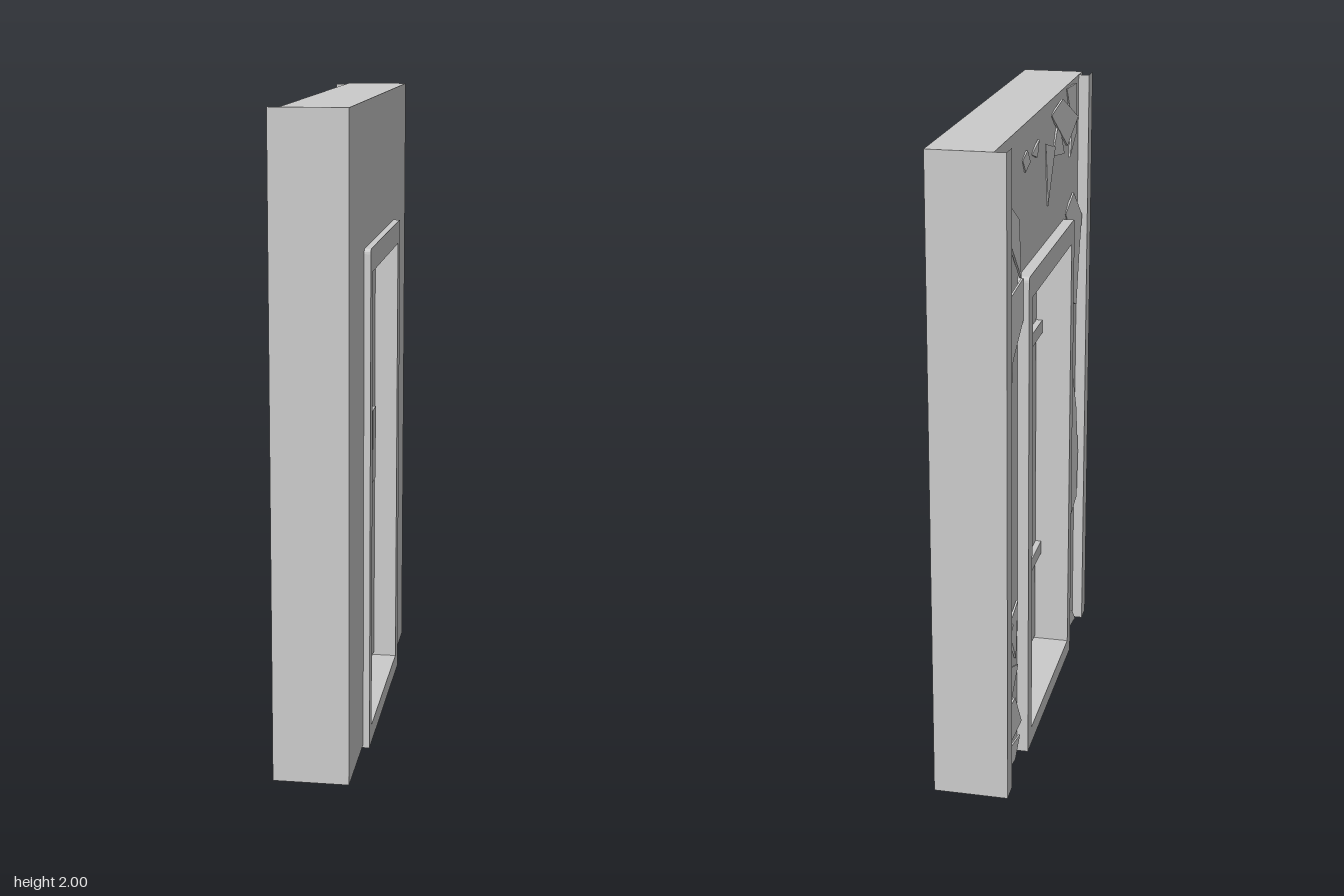
import * as THREE from 'three';

const mat = new THREE.MeshStandardMaterial({ color: 0xcccccc, flatShading: true });
const thinMat = new THREE.MeshStandardMaterial({ color: 0xcccccc, flatShading: true, side: THREE.DoubleSide });

// Outline given as [z, y] points.
const outline = (pts) => new THREE.Shape(pts.map(([z, y]) => new THREE.Vector2(z, y)));

// Extrudes a z-y outline from xMax towards -x.
function slab(shape, xMax, depth) {
  const g = new THREE.ExtrudeGeometry(shape, { depth, bevelEnabled: false, curveSegments: 4 });
  return g.rotateY(-Math.PI / 2).translate(xMax, 0, 0);
}

// Box given by its limits on each axis.
function box(x0, x1, y0, y1, z0, z1) {
  return new THREE.BoxGeometry(x1 - x0, y1 - y0, z1 - z0)
    .translate((x0 + x1) / 2, (y0 + y1) / 2, (z0 + z1) / 2);
}

export function createModel() {
  const group = new THREE.Group();
  const add = (name, geometry, material = mat) => {
    const mesh = new THREE.Mesh(geometry, material);
    mesh.name = name;
    group.add(mesh);
    return mesh;
  };

  // Wall with a doorway open at the bottom
  add('wall', slab(outline([
    [-0.665, 0.01], [-0.345, 0.01], [-0.345, 1.55], [0.345, 1.55],
    [0.345, 0.01], [0.665, 0.01], [0.665, 2], [-0.665, 2],
  ]), 0.105, 0.195));

  // Open-ended edge posts on the back of the wall
  for (const s of [-1, 1]) {
    const post = box(-0.125, -0.09, 0.01, 2, s < 0 ? -0.665 : 0.6, s < 0 ? -0.6 : 0.665);
    const idx = Array.from(post.index.array);
    post.setIndex([...idx.slice(0, 12), ...idx.slice(24)]);
    add('edgePost', post);
  }

  // Door frame, slightly rounded at the upper corners
  const frame = new THREE.Shape();
  const w = 0.363, h = 1.57, r = 0.015;
  frame.moveTo(-w, 0).lineTo(w, 0).lineTo(w, h - r);
  frame.quadraticCurveTo(w, h, w - r, h).lineTo(-w + r, h);
  frame.quadraticCurveTo(-w, h, -w, h - r).lineTo(-w, 0);
  frame.holes.push(new THREE.Path([
    [-0.305, 0.058], [-0.305, 1.497], [0.313, 1.497], [0.313, 0.058],
  ].map(([z, y]) => new THREE.Vector2(z, y))));
  add('doorFrame', slab(frame, 0.125, 0.25));

  // Door leaf split by a V-shaped break; the break ends higher on the back
  const door = slab(outline([
    [-0.305, 0.07], [0.305, 0.07], [0.305, 1.495], [-0.02, 1.495],
    [-0.02, 0.58], [-0.172, 1.495], [-0.305, 1.495],
  ]), 0.05, 0.06);
  const p = door.attributes.position;
  for (let i = 0; i < p.count; i++) {
    if (p.getX(i) < 0 && Math.abs(p.getY(i) - 0.58) < 0.01) p.setY(i, 0.77);
  }
  door.computeVertexNormals();
  add('door', door);

  // Handle plate, back battens and keyhole strip
  add('handlePlate', box(0.045, 0.062, 0.715, 0.96, -0.24, -0.165));
  for (const y of [1.21, 0.41]) {
    add('batten', box(-0.03, -0.005, y - 0.02, y + 0.025, -0.045, 0.308));
  }
  add('latchStrip', box(-0.015, -0.005, 0.81, 0.9, 0.125, 0.135));

  // Broken plaster on the back: thin pieces lifting off the wall towards +z
  const shards = [
    [[-0.51, 1.83], [-0.39, 1.75], [-0.37, 1.57], [-0.47, 1.69]],
    [[-0.58, 1.46], [-0.52, 1.54], [-0.37, 1.57], [-0.37, 1.44], [-0.47, 1.35], [-0.5, 1.17], [-0.57, 1.26]],
    [[0.04, 1.88], [0.15, 1.85], [0.07, 1.68]],
    [[0.15, 1.82], [0.22, 1.92], [0.29, 1.8]],
    [[0.13, 1.95], [0.26, 1.98], [0.45, 1.89], [0.32, 1.82]],
    [[0.38, 1.99], [0.5, 1.99], [0.51, 1.83], [0.43, 1.76], [0.45, 1.87]],
    [[-0.3, 1.9], [-0.25, 1.92], [-0.22, 1.88], [-0.27, 1.86]],
    [[-0.17, 1.89], [-0.09, 1.92], [-0.11, 1.87]],
    [[0.38, 1.58], [0.48, 1.63], [0.59, 1.53], [0.56, 1.4], [0.53, 1.23], [0.43, 1.27], [0.49, 1.45]],
    [[0.51, 0.98], [0.56, 0.85], [0.59, 0.67], [0.58, 0.5], [0.51, 0.46], [0.43, 0.58], [0.46, 0.73]],
    [[-0.59, 0.6], [-0.47, 0.5], [-0.56, 0.42]],
    [[-0.5, 0.5], [-0.4, 0.55], [-0.42, 0.36]],
    [[-0.59, 0.4], [-0.42, 0.34], [-0.5, 0.24]],
    [[-0.58, 0.22], [-0.45, 0.24], [-0.38, 0.12], [-0.52, 0.1]],
    [[-0.59, 0.1], [-0.4, 0.08], [-0.45, 0.02], [-0.57, 0.02]],
    [[0.4, 0.1], [0.53, 0.07], [0.57, 0.02], [0.44, 0.02]],
  ];
  for (const pts of shards) {
    const z0 = Math.min(...pts.map((q) => q[0]));
    const g = slab(outline(pts), -0.086, 0.006);
    const a = g.attributes.position;
    for (let i = 0; i < a.count; i++) a.setX(i, a.getX(i) - 0.08 * (a.getZ(i) - z0));
    g.computeVertexNormals();
    add('plasterShard', g, thinMat);
  }

  return group;
}
